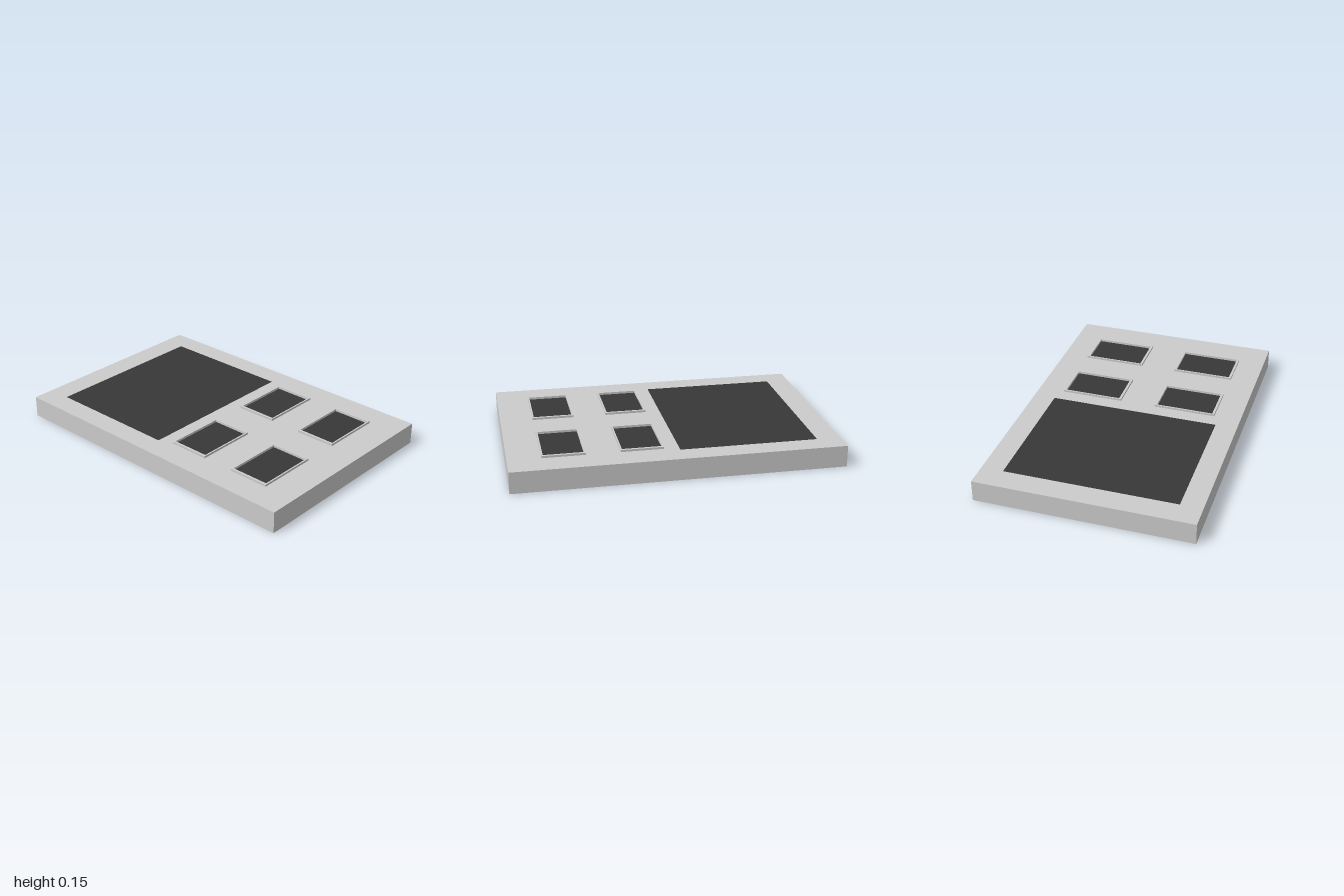
import * as THREE from 'three';

const grey = new THREE.MeshStandardMaterial({ color: 0xcccccc, side: THREE.DoubleSide });
const dark = new THREE.MeshStandardMaterial({ color: 0x383838, side: THREE.DoubleSide });

function add(parent, name, geometry, material, x, y, z) {
  const mesh = new THREE.Mesh(geometry, material);
  mesh.name = name;
  mesh.position.set(x, y, z);
  parent.add(mesh);
  return mesh;
}

// Four upright walls of a box, open above and below, standing on y = 0
function walls(w, h, d) {
  const g = new THREE.BoxGeometry(w, h, d).translate(0, h / 2, 0);
  const index = Array.from(g.index.array);
  g.setIndex([...index.slice(0, 12), ...index.slice(24)]); // drop top and bottom
  g.clearGroups();
  return g;
}

function traceRect(path, w, d, x = 0, z = 0) {
  path.moveTo(x - w / 2, -z - d / 2);
  path.lineTo(x + w / 2, -z - d / 2);
  path.lineTo(x + w / 2, -z + d / 2);
  path.lineTo(x - w / 2, -z + d / 2);
  path.closePath();
  return path;
}

// Flat upward-facing sheet with rectangular holes, each [w, d, x, z]
function sheet(w, d, holes = []) {
  const shape = traceRect(new THREE.Shape(), w, d);
  holes.forEach((h) => shape.holes.push(traceRect(new THREE.Path(), ...h)));
  return new THREE.ShapeGeometry(shape).rotateX(-Math.PI / 2);
}

export function createModel() {
  const model = new THREE.Group();
  model.name = 'handheldDevice';

  const W = 1.333, D = 2, top = 0.133;
  const screen = [1.062, 0.84, 0, -0.433];
  const bw = 0.388, bd = 0.258;
  const spots = [];
  for (const z of [0.207, 0.67]) for (const x of [-0.306, 0.306]) spots.push([x, z]);

  // Hollow casing, open underneath
  const casing = new THREE.Group();
  casing.name = 'casing';
  model.add(casing);
  add(casing, 'casingWalls', walls(W, top, D), grey, 0, 0, 0);
  const holes = [screen, ...spots.map(([x, z]) => [bw, bd, x, z])];
  add(casing, 'casingTop', sheet(W, D, holes), grey, 0, top, 0);

  // Flush screen with a skirt hanging inside the casing
  const [sw, sd, sx, sz] = screen;
  add(model, 'screen', sheet(sw, sd), dark, sx, top, sz);
  add(model, 'screenSkirt', walls(sw, 0.054, sd), grey, sx, top - 0.054, sz);

  // Raised buttons, each with a rim around a sunken dark face
  const thick = 0.053, sink = 0.014;
  const iw = bw - 0.03, id = bd - 0.018;
  for (const [x, z] of spots) {
    const button = new THREE.Group();
    button.name = 'button';
    button.position.set(x, 0.146 - thick, z);
    model.add(button);
    add(button, 'buttonWalls', walls(bw, thick, bd), grey, 0, 0, 0);
    add(button, 'buttonBottom', sheet(bw, bd), grey, 0, 0, 0);
    add(button, 'buttonRim', sheet(bw, bd, [[iw, id, 0, 0]]), grey, 0, thick, 0);
    add(button, 'buttonRecess', walls(iw, sink, id), grey, 0, thick - sink, 0);
    add(button, 'buttonFace', sheet(iw, id), dark, 0, thick - sink, 0);
  }
  return model;
}
